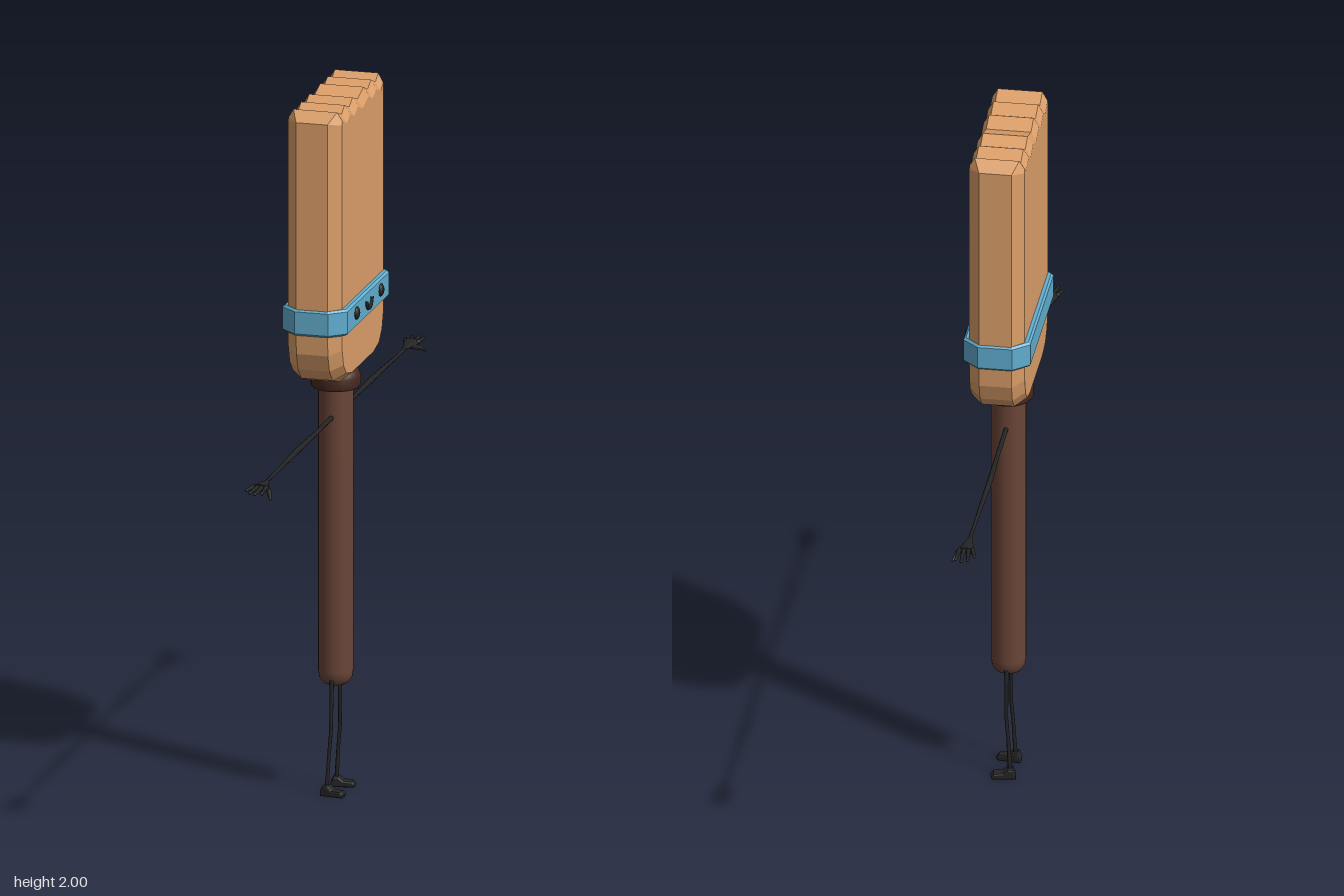
import * as THREE from 'three';

const mat = (name, color) => {
  const m = new THREE.MeshStandardMaterial({ color });
  m.name = name;
  return m;
};

const CX = -0.008; // the body's centre line in x
const V = (x, y, z) => new THREE.Vector3(x, y, z);

function add(parent, name, geometry, material, x = 0, y = 0, z = 0) {
  const mesh = new THREE.Mesh(geometry, material);
  mesh.name = name;
  mesh.position.set(x, y, z);
  parent.add(mesh);
  return mesh;
}

// Tapered round segments through points [x, y, z, radius], with ball joints
function limb(parent, name, pts, material) {
  const g = new THREE.Group();
  g.name = name;
  parent.add(g);
  pts.forEach(([x, y, z, r], i) => {
    add(g, 'joint', new THREE.SphereGeometry(r, 8, 6), material, x, y, z);
    if (!i) return;
    const [px, py, pz, pr] = pts[i - 1];
    const a = V(px, py, pz), b = V(x, y, z), d = b.clone().sub(a);
    const seg = add(g, 'segment', new THREE.CylinderGeometry(r, pr, d.length(), 8, 1, true), material);
    seg.position.copy(a).add(b).multiplyScalar(0.5);
    seg.quaternion.setFromUnitVectors(V(0, 1, 0), d.normalize());
  });
  return g;
}

// Joins rings of equal point count, then caps both ends; rings run counter-clockwise seen from +x
function loft(rings) {
  const pos = [];
  const tri = (...p) => p.forEach((v) => pos.push(v.x, v.y, v.z));
  for (let k = 0; k < rings.length - 1; k++) {
    const A = rings[k], B = rings[k + 1];
    A.forEach((a, i) => {
      const j = (i + 1) % A.length;
      tri(a, A[j], B[j]);
      tri(a, B[j], B[i]);
    });
  }
  const last = rings[rings.length - 1], first = rings[0];
  const flat = last.map((v) => new THREE.Vector2(-v.z, v.y));
  for (const [a, b, c] of THREE.ShapeUtils.triangulateShape(flat, [])) {
    tri(last[a], last[b], last[c]);
    tri(first[a], first[c], first[b]);
  }
  const g = new THREE.BufferGeometry();
  g.setAttribute('position', new THREE.Float32BufferAttribute(pos, 3));
  g.computeVertexNormals();
  return g;
}

// Bristle block: outer outline, inset face outline and the half width of the rim
function bristleGeometry() {
  // [outer u, outer y, inner u, inner y, rim half width], u = -z
  const low = [
    [0.12, 1.205, 0.11, 1.232, 0.045], [0.19, 1.228, 0.165, 1.245, 0.045],
    [0.222, 1.262, 0.193, 1.275, 0.045], [0.238, 1.31, 0.207, 1.32, 0.045],
    [0.242, 1.38, 0.21, 1.38, 0.045], [0.242, 1.972, 0.21, 1.965, 0.045],
  ];
  const teeth = [0.207, 0.18, 0.135, 0.1, 0.06, 0, -0.05, -0.085, -0.13, -0.16, -0.207];
  const top = teeth.map((u, i) => {
    const y = i % 2 ? 1.982 : 2;
    return [u, y, u * 0.99, y - 0.025, 0.062];
  });
  const mirrored = low.map(([u, y, v, w, h]) => [-u, y, -v, w, h]).reverse();
  const pts = [...low, ...top, ...mirrored];
  const outer = (s) => pts.map(([u, y, , , h]) => V(CX + s * h, y, -u));
  const inner = (s) => pts.map(([, , u, y]) => V(CX + s * 0.077, y, -u));
  return loft([inner(-1), outer(-1), outer(1), inner(1)]);
}

// Eight-sided band around the bristles
function bandGeometry() {
  const s = new THREE.Shape([
    [0.048, -0.247], [0.093, -0.208], [0.093, 0.208], [0.048, 0.247],
    [-0.048, 0.247], [-0.093, 0.208], [-0.093, -0.208], [-0.048, -0.247],
  ].map(([x, y]) => new THREE.Vector2(x, y)));
  const g = new THREE.ExtrudeGeometry(s, {
    depth: 0.063, bevelSize: 0.006, bevelThickness: 0.006, bevelOffset: -0.006, bevelSegments: 1,
  });
  return g.rotateX(-Math.PI / 2);
}

export function createModel() {
  const bristle = mat('bristle tan', 0xdc9f69);
  const blue = mat('band blue', 0x62aed0);
  const brown = mat('handle brown', 0x6a4537);
  const dark = mat('collar brown', 0x46291f);
  const black = mat('black', 0x242424);

  const model = new THREE.Group();
  model.name = 'paintbrushFigure';

  // Head
  add(model, 'bristles', bristleGeometry(), bristle);
  add(model, 'band', bandGeometry(), blue, CX, 1.37, 0);

  // Face, on the +x side
  for (const s of [1, -1]) {
    const eye = add(model, 'eye', new THREE.SphereGeometry(0.018, 12, 8), black, 0.086, 1.406, s * 0.121);
    eye.scale.x = 0.5;
  }
  const smile = add(model, 'smile', new THREE.TorusGeometry(0.026, 0.006, 6, 14, Math.PI), black, 0.087, 1.414, 0);
  smile.rotation.set(0, Math.PI / 2, Math.PI);

  // Collar and handle
  const lathe = (pts) => new THREE.LatheGeometry(pts.map(([r, y]) => new THREE.Vector2(r, y)), 24);
  add(model, 'collar', lathe([[0, 1.158], [0.064, 1.158], [0.064, 1.158], [0.069, 1.165], [0.069, 1.19],
    [0.064, 1.204], [0.035, 1.23], [0, 1.235]]), dark, CX);
  add(model, 'handle', lathe([[0, 0.303], [0.02, 0.306], [0.037, 0.315], [0.046, 0.33], [0.049, 0.35],
    [0.049, 1.18]]), brown, CX);

  for (const s of [1, -1]) {
    // Arm with a slightly thicker elbow
    const arm = limb(model, 'arm', [
      [CX, 1.08, s * 0.03, 0.007], [CX, 1.078, s * 0.2, 0.006], [CX - 0.002, 1.077, s * 0.34, 0.008],
      [CX - 0.002, 1.077, s * 0.4, 0.008], [CX, 1.076, s * 0.58, 0.005], [CX, 1.075, s * 0.7, 0.005],
    ], black);
    arm.scale.y = 0.999;

    // Hand: flattened palm, four fingers and a drooping thumb
    const palm = add(model, 'palm', new THREE.CylinderGeometry(0.024, 0.007, 0.075, 10), black, CX, 1.075, s * 0.728);
    palm.rotation.x = s * Math.PI / 2;
    palm.scale.z = 0.42;
    const tips = [[-0.036, 0.8], [-0.021, 0.822], [-0.004, 0.832], [0.013, 0.822]];
    tips.forEach(([x, z], i) => limb(model, 'finger', [
      [CX - 0.018 + i * 0.012, 1.077, s * 0.76, 0.0065], [x, 1.074, s * (z - 0.004), 0.004],
    ], black));
    limb(model, 'thumb', [[0, 1.072, s * 0.73, 0.008], [0.016, 1.063, s * 0.755, 0.007],
      [0.026, 1.05, s * 0.778, 0.004]], black);

    // Leg
    limb(model, 'leg', [[CX, 0.33, s * 0.04, 0.006], [CX - 0.001, 0.18, s * 0.046, 0.005],
      [CX - 0.006, 0.12, s * 0.047, 0.005], [-0.02, 0.02, s * 0.049, 0.006]], black);

    // Shoe, pointing to +x with the toe turned slightly outward
    const side = new THREE.Shape([[-0.036, 0], [0.03, 0], [0.033, 0.01], [0.026, 0.018], [0, 0.02],
      [-0.014, 0.031], [-0.028, 0.031], [-0.036, 0.014]].map(([x, y]) => new THREE.Vector2(x, y)));
    const shoe = new THREE.ExtrudeGeometry(side, {
      depth: 0.02, bevelSize: 0.005, bevelThickness: 0.006, bevelOffset: -0.005, bevelSegments: 2,
    }).translate(0, 0, -0.01);
    add(model, 'shoe', shoe, black, 0, 0, s * 0.053).rotation.y = -s * 0.15;
  }
  return model;
}
